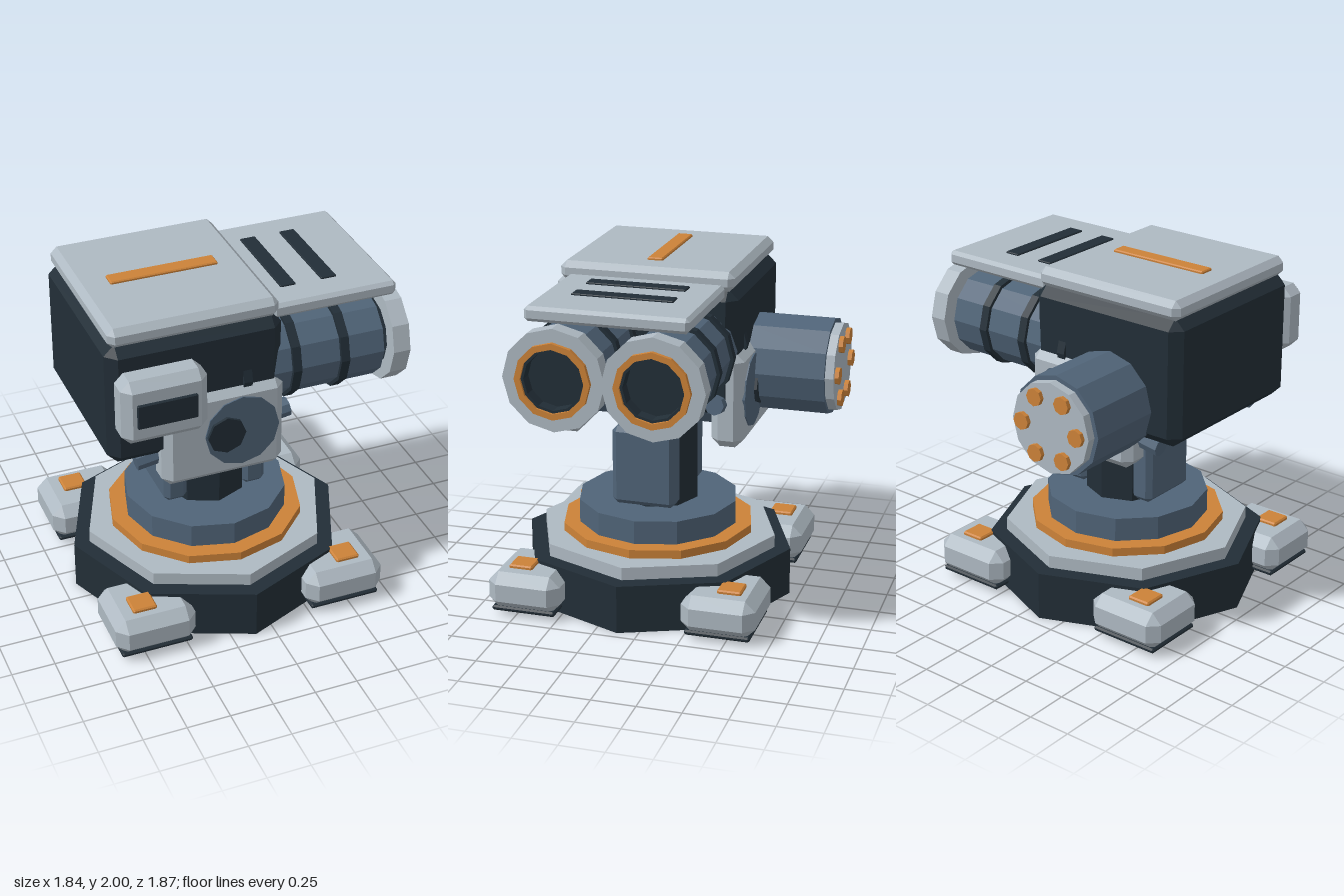
import * as THREE from 'three';
import { ConvexGeometry } from 'three/addons/geometries/ConvexGeometry.js';

const CX = -0.11, CZ = 0.12; // turret axis

function material(name, color) {
  const m = new THREE.MeshStandardMaterial({ color });
  m.name = name;
  m.flatShading = true;
  return m;
}

export function createModel() {
  const dark = material('dark steel', 0x222e37);
  const light = material('light armour', 0xaeb9c2);
  const blue = material('blue steel', 0x506478);
  const orange = material('orange trim', 0xcc8238);
  const model = new THREE.Group();
  model.name = 'turret';

  const add = (name, geometry, mat) => {
    const mesh = new THREE.Mesh(geometry, mat);
    mesh.name = name;
    model.add(mesh);
    return mesh;
  };

  // Box with chamfered edges, given by its extents
  const block = (name, mat, [x0, x1], [y0, y1], [z0, z1], c) => {
    const pts = [];
    for (const i of [0, 1]) for (const j of [0, 1]) for (const k of [0, 1]) {
      const p = [i ? x1 : x0, j ? y1 : y0, k ? z1 : z0];
      const inward = [i ? -c : c, j ? -c : c, k ? -c : c];
      for (let a = 0; a < 3; a++) {
        pts.push(new THREE.Vector3(...p.map((v, n) => (n === a ? v : v + inward[n]))));
      }
    }
    return add(name, new ConvexGeometry(pts), mat);
  };

  // Cylinders along y, x and z, given by their end positions
  const cylY = (name, mat, r, y0, y1, sides) =>
    add(name, new THREE.CylinderGeometry(r, r, y1 - y0, sides).translate(CX, (y0 + y1) / 2, CZ), mat);
  const cylX = (name, mat, r, x0, x1, y, z, sides) =>
    add(name, new THREE.CylinderGeometry(r, r, x1 - x0, sides)
      .rotateZ(-Math.PI / 2).translate((x0 + x1) / 2, y, z), mat);
  const cylZ = (name, mat, r, z0, z1, x, y, sides) =>
    add(name, new THREE.CylinderGeometry(r, r, z1 - z0, sides)
      .rotateX(Math.PI / 2).translate(x, y, (z0 + z1) / 2), mat);

  // Open ring along x
  const ringX = (name, mat, inner, outer, x0, x1, y, z) => {
    const profile = [[inner, x0], [outer, x0], [outer, x1], [inner, x1], [inner, x0]]
      .map(([r, h]) => new THREE.Vector2(r, h));
    return add(name, new THREE.LatheGeometry(profile, 12).rotateZ(-Math.PI / 2).translate(0, y, z), mat);
  };

  // Stepped base
  cylY('base', dark, 0.81, 0, 0.285, 8);
  cylY('baseDeck', light, 0.715, 0.28, 0.36, 8);
  cylY('baseTrimRing', orange, 0.57, 0.355, 0.41, 12);
  cylY('turntable', blue, 0.475, 0.4, 0.55, 12);

  // Four feet with top markers and ground pads
  for (const sx of [-1, 1]) for (const sz of [-1, 1]) {
    const x = CX + sx * 0.575, z = CZ + sz * 0.575;
    const mx = CX + sx * 0.62, mz = CZ + sz * 0.62;
    block('foot', light, [x - 0.237, x + 0.237], [0.04, 0.265], [z - 0.215, z + 0.215], 0.06);
    block('footPad', dark, [x - 0.21, x + 0.21], [0.03, 0.06], [z - 0.19, z + 0.19], 0.01);
    block('footMarker', orange, [mx - 0.07, mx + 0.07], [0.25, 0.285], [mz - 0.07, mz + 0.07], 0.008);
  }

  // Column with side plates
  cylY('column', dark, 0.24, 0.54, 1.1, 8);
  for (const s of [-1, 1]) {
    const xs = [CX + s * 0.17, CX + s * 0.31].sort((a, b) => a - b);
    block('columnPlate', blue, xs, [0.575, 1.05], [CZ - 0.19, CZ + 0.19], 0.03);
  }

  // Tilt axle through the two side brackets
  cylZ('axle', blue, 0.215, CZ - 0.578, CZ + 0.578, CX, 1.25, 12);
  cylZ('axleHub', dark, 0.11, CZ - 0.595, CZ + 0.595, -0.205, 1.25, 8);
  for (const s of [-1, 1]) {
    const zs = [CZ + s * 0.38, CZ + s * 0.57].sort((a, b) => a - b);
    block('bracket', light, [-0.56, 0.145], [0.96, 1.52], zs, 0.05);
    const rod = add('tiltRod', new THREE.CylinderGeometry(0.055, 0.055, 0.91, 8), blue);
    rod.rotation.z = -Math.PI / 2 + 0.155;
    rod.position.set(-0.23, 1.17, CZ + s * 0.43);
  }

  // Head and roof
  block('head', dark, [-0.85, 0.15], [1.15, 1.885], [CZ - 0.53, CZ + 0.53], 0.06);
  block('roof', light, [-0.83, 0.13], [1.87, 1.985], [CZ - 0.51, CZ + 0.51], 0.035);
  block('roofStripe', orange, [-0.655, -0.04], [1.975, 2.0], [0.07, 0.16], 0.006);
  block('barrelCover', light, [0.11, 0.84], [1.83, 1.915], [CZ - 0.46, CZ + 0.46], 0.02);
  for (const x of [0.27, 0.51]) {
    block('coverSlot', dark, [x - 0.045, x + 0.045], [1.905, 1.925], [CZ - 0.288, CZ + 0.288], 0.004);
  }

  // Twin barrels with bands and muzzles
  for (const s of [-1, 1]) {
    const y = 1.53, z = CZ + s * 0.278;
    cylX('barrel', blue, 0.25, -0.15, 0.75, y, z, 12);
    for (const x of [-0.065, 0.225, 0.51]) cylX('barrelBand', dark, 0.27, x - 0.025, x + 0.025, y, z, 12);
    ringX('muzzle', light, 0.2, 0.29, 0.79, 0.89, y, z);
    ringX('muzzleTrim', orange, 0.18, 0.215, 0.82, 0.915, y, z);
    ringX('muzzleLiner', dark, 0.165, 0.185, 0.81, 0.9, y, z);
    cylX('bore', dark, 0.205, 0.795, 0.825, y, z, 12);
  }

  // Sensor box on the side of the head
  block('sensorBox', light, [-0.83, -0.35], [1.39, 1.77], [0.64, 0.835], 0.05);
  block('sensorWindow', dark, [-0.757, -0.423], [1.507, 1.65], [0.82, 0.85], 0.005);

  // Rear drum with six bolts
  cylZ('drum', blue, 0.285, -0.86, -0.38, -0.4, 1.34, 12);
  cylZ('drumCap', light, 0.26, -0.91, -0.85, -0.4, 1.34, 12);
  for (let i = 0; i < 6; i++) {
    const a = (i * Math.PI) / 3;
    cylZ('drumBolt', orange, 0.05, -0.935, -0.9, -0.4 + 0.185 * Math.cos(a), 1.34 + 0.185 * Math.sin(a), 8);
  }

  return model;
}
